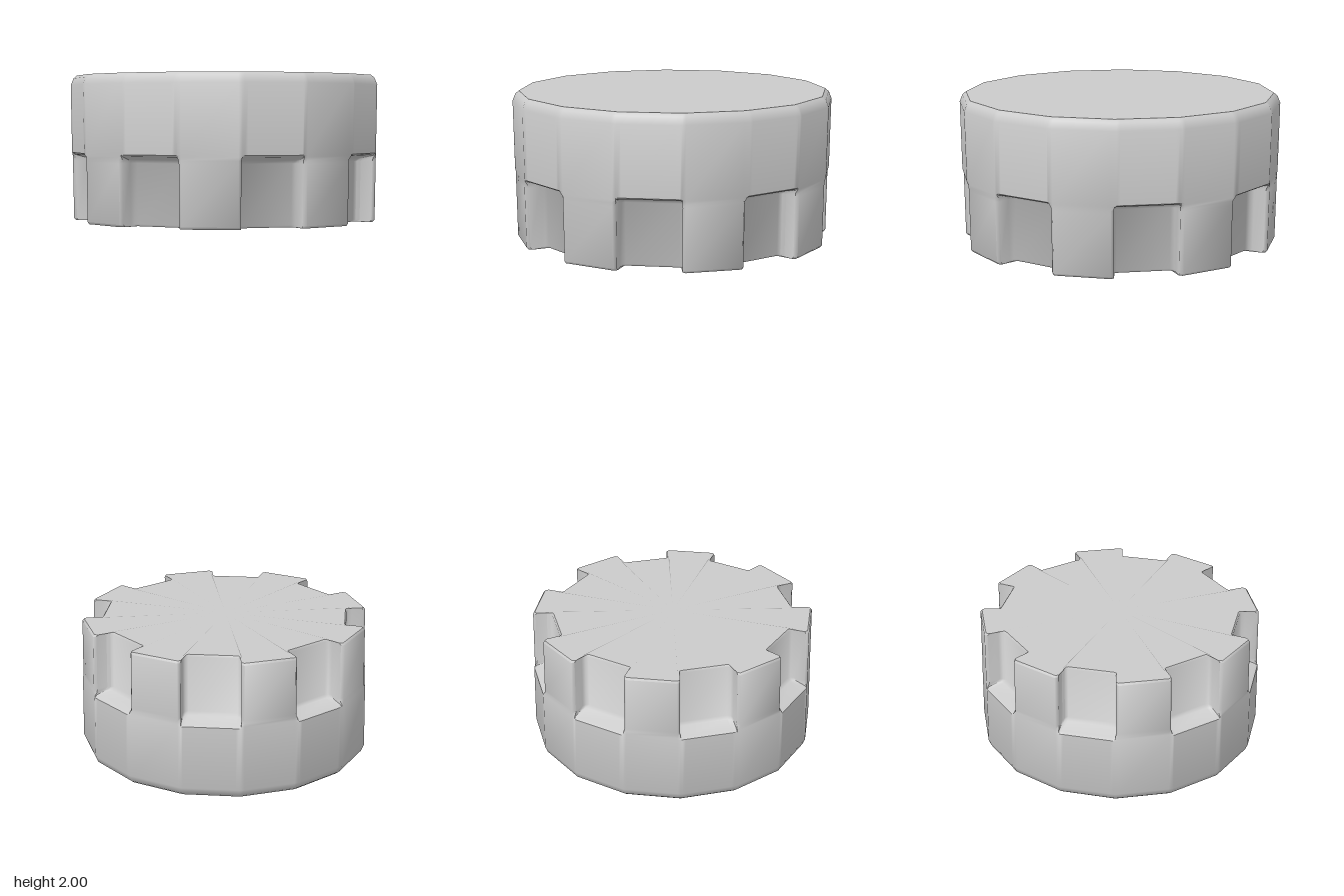
import * as THREE from 'three';
import { toCreasedNormals } from 'three/addons/utils/BufferGeometryUtils.js';

const R = 0.437;                 // corner radius of the sixteen-sided body
const STEP = Math.PI / 8;
const HALF = R * Math.sin(STEP / 2);
const APOTHEM = R * Math.cos(STEP / 2);
const BEVEL = 0.01;

// Half a notch, from the rib face to the floor: [offset along side, fixed depth, notch depth]
const halfNotch = [
  [HALF + BEVEL * Math.cos(STEP), BEVEL * Math.sin(STEP), 0],
  [HALF, 0, 0.01],
  [HALF - 0.001, 0, 0.045],
  [HALF - 0.006, 0, 0.055],
  [HALF - 0.015, 0, 0.06],
];
const notch = [
  ...halfNotch.map(([u, f, d]) => [-u, f, d]),
  ...[...halfNotch].reverse(),
];

// Rows from the plain end to the notched end: [height, inset, notch amount]
const rows = [
  [0, 0.018, 0], [0.008, 0.008, 0], [0.027, 0, 0],
  [0.212, 0, 0], [0.217, 0, 0.15], [0.226, 0, 0.85], [0.235, 0, 1],
  [0.397, 0, 1], [0.403, 0.005, 1],
];

// One closed cross-section, with eight notches
function section([y, inset, amount]) {
  const ring = [];
  for (let k = 0; k < 8; k++) {
    const c = (2 * k - 0.5) * STEP;
    for (const [u, fixed, depth] of notch) {
      const out = APOTHEM - fixed - depth * amount;
      const s = (R - inset) / R;
      ring.push([
        s * (Math.sin(c) * out + Math.cos(c) * u), y,
        s * (Math.cos(c) * out - Math.sin(c) * u),
      ]);
    }
  }
  return ring;
}

function geometryFrom(points, index) {
  const g = new THREE.BufferGeometry();
  g.setAttribute('position', new THREE.Float32BufferAttribute(points.flat(), 3));
  g.setIndex(index);
  g.computeVertexNormals();
  return g;
}

// Side wall joining the cross-sections
function wallGeometry() {
  const rings = rows.map(section);
  const n = rings[0].length;
  const index = [];
  for (let j = 0; j < rings.length - 1; j++) {
    for (let i = 0; i < n; i++) {
      const a = j * n + i, b = j * n + (i + 1) % n;
      index.push(a, b, b + n, a, b + n, a + n);
    }
  }
  return toCreasedNormals(geometryFrom(rings.flat(), index), 1.02);
}

// Flat end face
function endGeometry(row, up) {
  const ring = section(row);
  const n = ring.length;
  const index = [];
  for (let i = 0; i < n; i++) {
    const j = (i + 1) % n;
    index.push(n, up ? i : j, up ? j : i);
  }
  return geometryFrom([...ring, [0, row[0], 0]], index);
}

export function createModel() {
  const model = new THREE.Group();
  model.name = 'notchedCaps';
  const material = new THREE.MeshStandardMaterial({ color: 0xcccccc });
  const parts = {
    notchedWall: wallGeometry(),
    plainFace: endGeometry(rows[0], false),
    notchedFace: endGeometry(rows[rows.length - 1], true),
  };

  // Two identical caps, the upper one turned over to face the lower
  for (const name of ['lowerCap', 'upperCap']) {
    const cap = new THREE.Group();
    cap.name = name;
    for (const [part, geometry] of Object.entries(parts)) {
      const mesh = new THREE.Mesh(geometry, material);
      mesh.name = part;
      cap.add(mesh);
    }
    if (name === 'upperCap') {
      cap.rotation.x = Math.PI;
      cap.position.y = 2;
    }
    model.add(cap);
  }
  return model;
}
